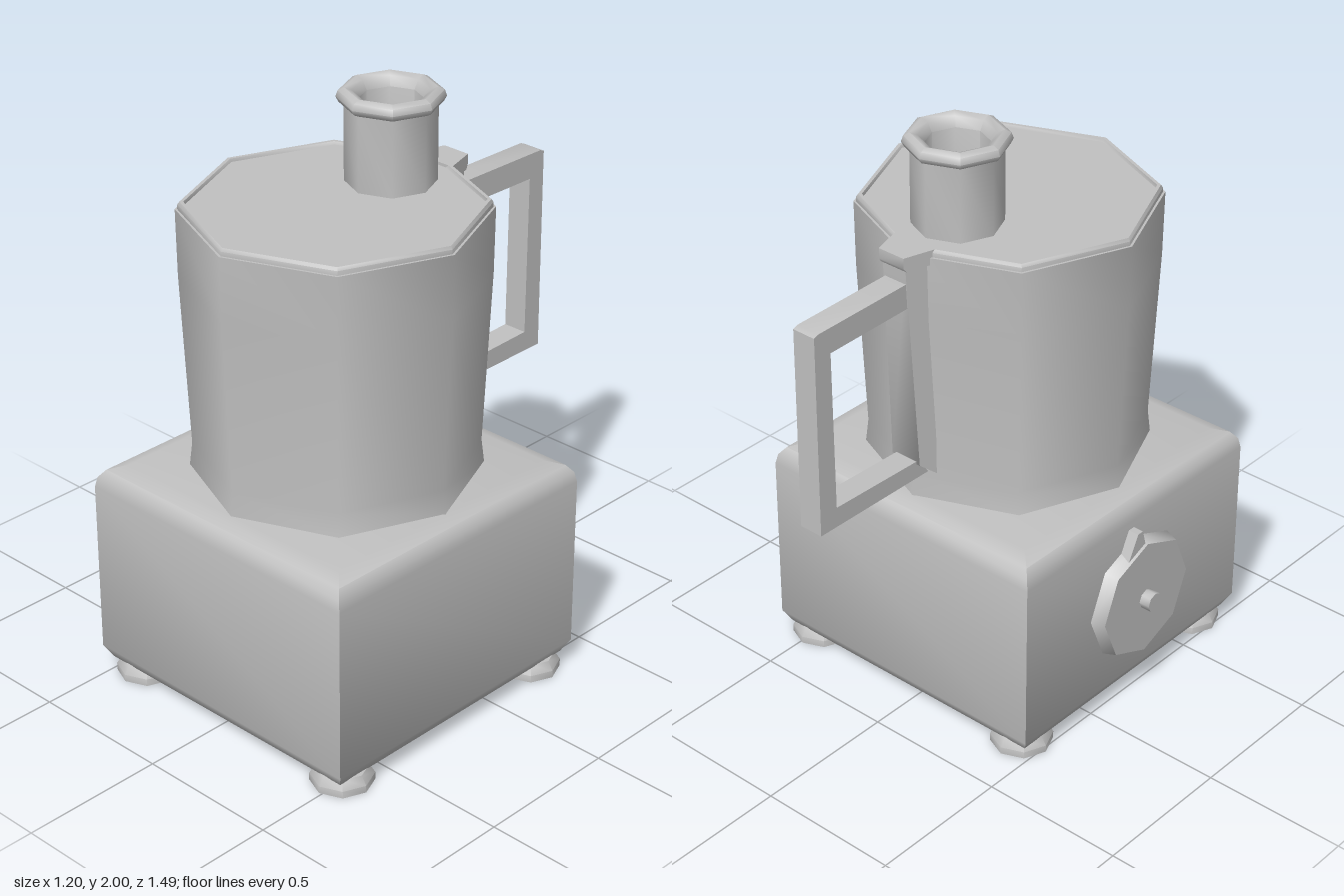
import * as THREE from 'three';
import { toCreasedNormals } from 'three/addons/utils/BufferGeometryUtils.js';

const CREASE = 0.87; // octagon sides stay smooth, square corners stay sharp

export function createModel() {
  const model = new THREE.Group();
  model.name = 'foodProcessor';
  const grey = new THREE.MeshStandardMaterial({ color: 0xc0c0c0 });
  grey.name = 'light grey';

  function add(name, geometry, x = 0, y = 0, z = 0) {
    const mesh = new THREE.Mesh(toCreasedNormals(geometry, CREASE), grey);
    mesh.name = name;
    mesh.position.set(x, y, z);
    model.add(mesh);
    return mesh;
  }
  // Profile of [radius, height] pairs, listed upwards
  const turned = (points, sides = 8, start = 0) =>
    new THREE.LatheGeometry(points.map(([r, y]) => new THREE.Vector2(r, y)), sides, start);

  // Side outline of [distance to the back, height], extruded to a width that may vary
  function profile(points, widthAt) {
    const shape = new THREE.Shape(points.map(([u, y]) => new THREE.Vector2(u, y)));
    const geometry = new THREE.ExtrudeGeometry(shape, { depth: 1, bevelEnabled: false });
    geometry.translate(0, 0, -0.5).rotateY(Math.PI / 2);
    const p = geometry.attributes.position;
    for (let i = 0; i < p.count; i++) p.setX(i, p.getX(i) * widthAt(-p.getZ(i)));
    return geometry;
  }

  // Motor base: square sections with rounded top and bottom edges
  const base = turned([
    [0, 0.015], [0.45, 0.015], [0.525, 0.05], [0.55, 0.095], [0.55, 0.7],
    [0.543, 0.735], [0.522, 0.762], [0.47, 0.78], [0, 0.78],
  ].map(([r, y]) => [r * Math.SQRT2, y]), 4, Math.PI / 4);
  add('motorBase', base, 0.032, 0, 0.195);

  // Feet
  for (const x of [-0.412, 0.49]) {
    for (const z of [-0.25, 0.642]) {
      add('foot', turned([[0, 0], [0.104, 0], [0.104, 0.025], [0.085, 0.055], [0, 0.06]]), x, 0, z);
    }
  }

  // Bowl and lid
  add('bowl', turned([
    [0, 0.775], [0.473, 0.775], [0.463, 0.86], [0.49, 1.45], [0.493, 1.675], [0, 1.675],
  ]), 0.034, 0, 0.193);
  add('lid', turned([
    [0.485, 1.67], [0.485, 1.69], [0.478, 1.7], [0.466, 1.7], [0.462, 1.69], [0, 1.69],
  ]), 0.034, 0, 0.193);

  // Feed chute with a rolled lip
  add('feedChute', turned([
    [0.147, 1.68], [0.147, 1.945], [0.163, 1.953], [0.172, 1.97], [0.165, 1.99],
    [0.145, 2], [0.122, 1.99], [0.105, 1.96], [0.1, 1.69],
  ]), 0.032, 0, -0.056);

  // Handle frame
  add('handle', profile([
    [0.32, 1.515], [0.675, 1.51], [0.67, 0.95], [0.3, 0.94],
    [0.25, 0.877], [0.742, 0.88], [0.742, 1.59], [0.725, 1.597], [0.32, 1.602],
  ], () => 0.086), 0.032);

  // Tapered bracket and its cap
  const taper = (u) => 0.165 - (u - 0.25) * 0.6;
  add('handleBracket', profile([
    [0.245, 0.88], [0.305, 0.93], [0.345, 1.66], [0.25, 1.66],
  ], (u) => taper(u) - 0.015), 0.034);
  add('bracketCap', profile([
    [0.245, 1.65], [0.347, 1.65], [0.357, 1.665], [0.357, 1.7], [0.245, 1.7],
  ], taper), 0.034);

  // Control dial on the side, with pointer and hub
  const dial = turned([[0, 0], [0.228, 0], [0.213, 0.047], [0, 0.047]]).rotateZ(Math.PI / 2);
  add('dial', dial, -0.518, 0.402, 0.193);
  const hub = turned([[0, 0], [0.034, 0], [0.034, 0.04], [0, 0.04]]).rotateZ(Math.PI / 2);
  add('dialHub', hub, -0.563, 0.4, 0.193);
  const tip = new THREE.Shape();
  tip.moveTo(-0.06, 0.56).lineTo(0.05, 0.56).lineTo(0.02, 0.67).lineTo(-0.005, 0.67);
  const pointer = new THREE.ExtrudeGeometry(tip, { depth: 0.038, bevelEnabled: false });
  add('dialPointer', pointer.rotateY(-Math.PI / 2), -0.518, 0, 0.155);

  return model;
}
